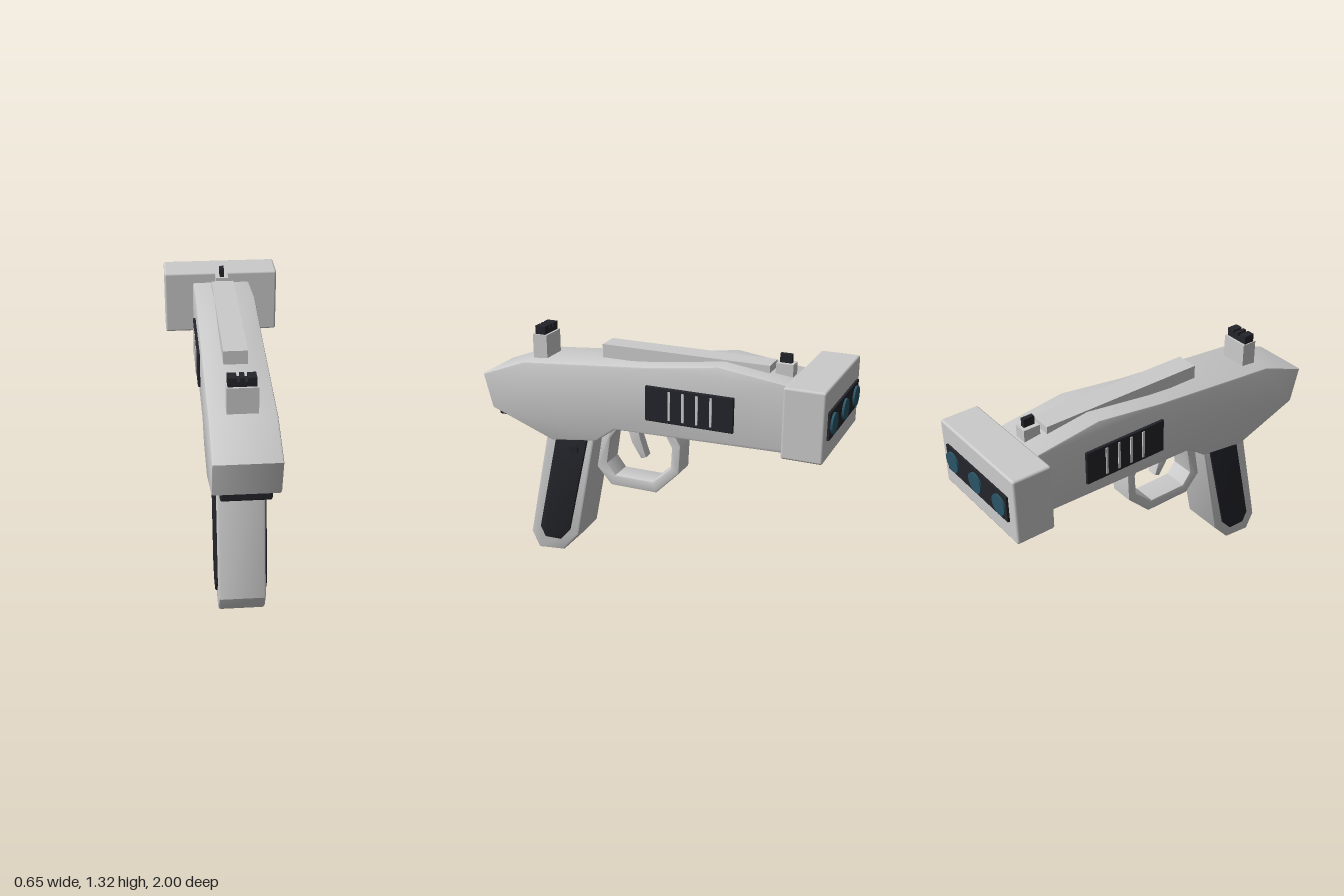
import * as THREE from 'three';
import { RoundedBoxGeometry } from 'three/addons/geometries/RoundedBoxGeometry.js';
import { toCreasedNormals } from 'three/addons/utils/BufferGeometryUtils.js';

export function createModel() {
  const model = new THREE.Group();
  const grey = new THREE.MeshStandardMaterial({ color: 0xcccccc });
  const dark = new THREE.MeshStandardMaterial({ color: 0x24252b });
  const glass = new THREE.MeshStandardMaterial({ color: 0x2a5566 });

  const add = (name, geometry, material, x = 0, y = 0, z = 0) => {
    const mesh = new THREE.Mesh(geometry, material);
    mesh.name = name;
    mesh.position.set(x, y, z);
    model.add(mesh);
    return mesh;
  };

  // Box given by its minimum and maximum on each axis
  const box = (name, material, x0, x1, y0, y1, z0, z1, r = 0) => {
    const size = [x1 - x0, y1 - y0, z1 - z0];
    const geometry = r ? new RoundedBoxGeometry(...size, 2, r) : new THREE.BoxGeometry(...size);
    return add(name, geometry, material, (x0 + x1) / 2, (y0 + y1) / 2, (z0 + z1) / 2);
  };

  // Side outline of [z, y] points, extruded across x with softened edges
  const toPoints = (list) => list.map(([z, y]) => new THREE.Vector2(-z, y));
  const plate = (name, material, outline, halfWidth, bevel, hole) => {
    const shape = new THREE.Shape(toPoints(outline));
    if (hole) shape.holes.push(new THREE.Path(toPoints(hole)));
    const geometry = new THREE.ExtrudeGeometry(shape, {
      depth: 2 * (halfWidth - bevel), bevelEnabled: true, bevelThickness: bevel,
      bevelSize: bevel, bevelOffset: -bevel, bevelSegments: 2,
    });
    geometry.translate(0, 0, bevel - halfWidth);
    geometry.rotateY(Math.PI / 2);
    return add(name, toCreasedNormals(geometry, 0.6), material);
  };

  // Main body
  plate('body', grey, [
    [1, 1.04], [0.74, 1.14], [0, 1.205], [-0.38, 1.257], [-0.735, 1.21], [-0.77, 1.15],
    [-0.785, 0.87], [-0.77, 0.855], [0.2, 0.832], [0.31, 0.75], [0.58, 0.713], [0.95, 0.85],
  ], 0.162, 0.01);
  box('rearCatch', dark, -0.122, 0.122, 0.8, 0.9, 0.76, 0.935, 0.012);

  // Grip with inset side panels and a button
  plate('grip', grey, [
    [0.625, 0.78], [0.767, 0.1], [0.72, 0.003], [0.56, 0.02], [0.46, 0.135], [0.335, 0.78],
  ], 0.12, 0.012);
  plate('gripPanels', dark, [
    [0.565, 0.76], [0.7, 0.15], [0.67, 0.087], [0.57, 0.09], [0.51, 0.16], [0.375, 0.76],
  ], 0.132, 0.006);
  const button = new THREE.CylinderGeometry(0.026, 0.026, 0.04, 24).rotateZ(Math.PI / 2);
  add('gripButton', button, dark, 0.127, 0.665, 0.46);

  // Trigger and its guard
  plate('triggerGuard', grey, [
    [0.32, 0.76], [0.355, 0.56], [0.27, 0.463], [0, 0.463],
    [-0.135, 0.6], [-0.142, 0.76], [-0.08, 0.86], [0.25, 0.86],
  ], 0.07, 0.008, [
    [0.27, 0.74], [0.293, 0.59], [0.243, 0.525], [0.02, 0.525],
    [-0.085, 0.62], [-0.092, 0.74], [-0.04, 0.835], [0.2, 0.835],
  ]);
  plate('trigger', grey, [
    [0.2, 0.85], [0.13, 0.85], [0.11, 0.75], [0.075, 0.645], [0.105, 0.633], [0.16, 0.72],
  ], 0.03, 0.004);

  // Side vents, mirrored
  for (const s of [-1, 1]) {
    const vent = new RoundedBoxGeometry(0.04, 0.19, 0.485, 2, 0.006);
    add('ventPanel', vent, dark, s * 0.155, 1.015, -0.228);
    for (const z of [-0.122, -0.198, -0.274, -0.35]) {
      add('ventBar', new THREE.BoxGeometry(0.03, 0.155, 0.013), grey, s * 0.165, 1.017, z);
    }
  }

  // Top rail and sights
  box('topRail', grey, -0.061, 0.061, 1.193, 1.265, -0.615, 0.308);
  box('rearSightPost', grey, -0.075, 0.075, 1.1, 1.275, 0.638, 0.722);
  box('rearSightBase', dark, -0.07, 0.066, 1.27, 1.3, 0.65, 0.71);
  for (const [a, b] of [[-0.07, -0.027], [-0.012, 0.01], [0.024, 0.066]]) {
    box('rearSightTooth', dark, a, b, 1.295, 1.32, 0.65, 0.71);
  }
  box('frontSightPost', grey, -0.035, 0.035, 1.18, 1.275, -0.727, -0.637);
  box('frontSightBlade', dark, -0.012, 0.012, 1.27, 1.32, -0.711, -0.65);

  // Emitter head with three lenses
  box('head', grey, -0.325, 0.325, 0.895, 1.257, -0.975, -0.767, 0.012);
  box('lensPanel', dark, -0.27, 0.27, 1.003, 1.145, -0.987, -0.94);
  for (const x of [-0.21, 0, 0.21]) {
    const lens = new THREE.CylinderGeometry(0.054, 0.054, 0.04, 32).rotateX(Math.PI / 2);
    add('lens', lens, glass, x, 1.074, -0.978);
  }
  return model;
}
